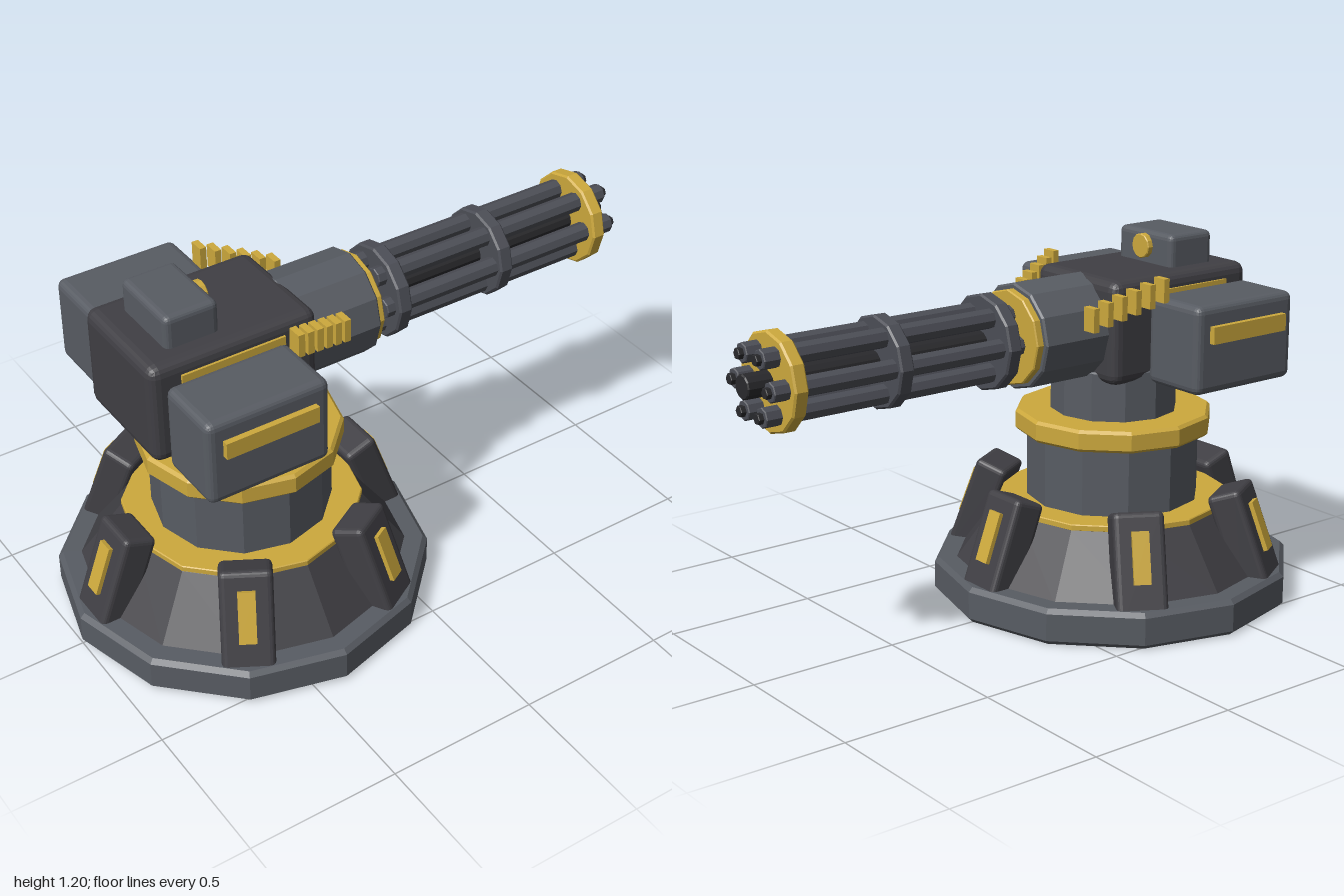
import * as THREE from 'three';
import { RoundedBoxGeometry } from 'three/addons/geometries/RoundedBoxGeometry.js';

const mat = (name, color, flat) => {
  const m = new THREE.MeshStandardMaterial({ color, flatShading: flat });
  m.name = name;
  return m;
};

export function createModel() {
  const model = new THREE.Group();
  model.name = 'turret';
  const grey = mat('steelGrey', 0x585c63, true);
  const dark = mat('darkGrey', 0x403f44, true);
  const gold = mat('gold', 0xcda93d, true);
  const gun = mat('gunmetal', 0x4c4e56, true);
  const black = mat('black', 0x29292c, true);

  const add = (parent, name, geometry, material, x = 0, y = 0, z = 0) => {
    const mesh = new THREE.Mesh(geometry, material);
    mesh.name = name;
    mesh.position.set(x, y, z);
    parent.add(mesh);
    return mesh;
  };
  // Bevelled prism standing on the y axis, from a to b
  const prism = (r, a, b, bevel = 0.01, sides = 12, rTop = r) =>
    new THREE.LatheGeometry([
      [0, a], [r - bevel, a], [r, a + bevel], [rTop, b - bevel], [rTop - bevel, b], [0, b],
    ].map(([px, py]) => new THREE.Vector2(px, py)), sides);
  // The same prism lying along x
  const prismX = (...args) => prism(...args).rotateZ(-Math.PI / 2);
  const block = (w, h, d, r) => new RoundedBoxGeometry(w, h, d, 2, r);

  // Pedestal
  const pedestal = new THREE.Group();
  pedestal.name = 'pedestal';
  pedestal.position.x = -0.4;
  model.add(pedestal);
  add(pedestal, 'basePlate', prism(0.6, 0, 0.12, 0.015), grey);
  add(pedestal, 'skirt', prism(0.53, 0.11, 0.315, 0.003, 12, 0.385), dark);
  add(pedestal, 'skirtRing', prism(0.385, 0.31, 0.332, 0.003), gold);
  add(pedestal, 'lowerColumn', prism(0.288, 0.32, 0.557, 0.005), grey);
  add(pedestal, 'collar', prism(0.327, 0.556, 0.628, 0.01), gold);
  add(pedestal, 'upperColumn', prism(0.21, 0.62, 0.79, 0.005), grey);

  // Six leaning buttresses with gold plates
  for (let i = 0; i < 6; i++) {
    const arm = new THREE.Group();
    arm.name = 'buttress' + (i + 1);
    arm.rotation.y = (i * Math.PI) / 3;
    const lean = new THREE.Group();
    lean.position.set(0.467, 0.221, 0);
    lean.rotation.z = 0.35;
    arm.add(lean);
    add(lean, 'buttressBlock', block(0.115, 0.36, 0.166, 0.018), dark);
    add(lean, 'buttressPlate', new THREE.BoxGeometry(0.02, 0.168, 0.055), gold, 0.062, 0.035, 0);
    pedestal.add(arm);
  }

  // Turret head
  add(model, 'body', block(0.57, 0.34, 0.4, 0.035), dark, -0.515, 0.925, 0);
  add(model, 'sensorBox', block(0.18, 0.125, 0.26, 0.02), grey, -0.615, 1.1375, 0);
  add(model, 'sensorLens', prismX(0.041, 0, 0.025, 0.003), gold, -0.53, 1.15, 0);
  add(model, 'gunHousing', prismX(0.172, -0.26, 0.018, 0.006), grey, 0, 0.925, 0);

  // Side pods, stripes and ammunition belts
  for (const s of [1, -1]) {
    const side = s > 0 ? 'left' : 'right';
    add(model, side + 'Pod', block(0.41, 0.285, 0.235, 0.025), grey, -0.56, 0.902, s * 0.333);
    add(model, side + 'PodStripe', new THREE.BoxGeometry(0.31, 0.055, 0.024), gold, -0.56, 0.953, s * 0.458);
    add(model, side + 'BodyStripe', new THREE.BoxGeometry(0.35, 0.03, 0.012), gold, -0.525, 1.035, s * 0.202);
    for (let i = 0; i < 6; i++) {
      add(model, side + 'BeltLink' + (i + 1), new THREE.BoxGeometry(0.022, 0.077, 0.05), gold,
        -0.355 + i * 0.043, 1.073 - i * 0.016, s * (0.277 - i * 0.0164));
    }
  }

  // Rotary gun
  const rotor = new THREE.Group();
  rotor.name = 'rotaryGun';
  rotor.position.y = 0.925;
  model.add(rotor);
  add(rotor, 'rearDisc', prismX(0.155, 0.01, 0.043, 0.004), gold);
  add(rotor, 'rearClamp', prismX(0.155, 0.1, 0.148, 0.006), gun);
  add(rotor, 'middleClamp', prismX(0.147, 0.496, 0.545, 0.006), gun);
  add(rotor, 'muzzleRing', prismX(0.156, 0.868, 0.915, 0.006), gold);
  add(rotor, 'centreShaft', prismX(0.039, 0.04, 1, 0.004), black);
  for (let i = 0; i < 6; i++) {
    const a = (i * Math.PI) / 3;
    const y = Math.sin(a) * 0.1, z = Math.cos(a) * 0.1;
    add(rotor, 'barrel' + (i + 1), prismX(0.032, 0.07, 0.968, 0.003, 8), gun, 0, y, z);
    add(rotor, 'muzzle' + (i + 1), prismX(0.018, 0.96, 0.985, 0.002, 6), black, 0, y, z);
  }
  return model;
}
